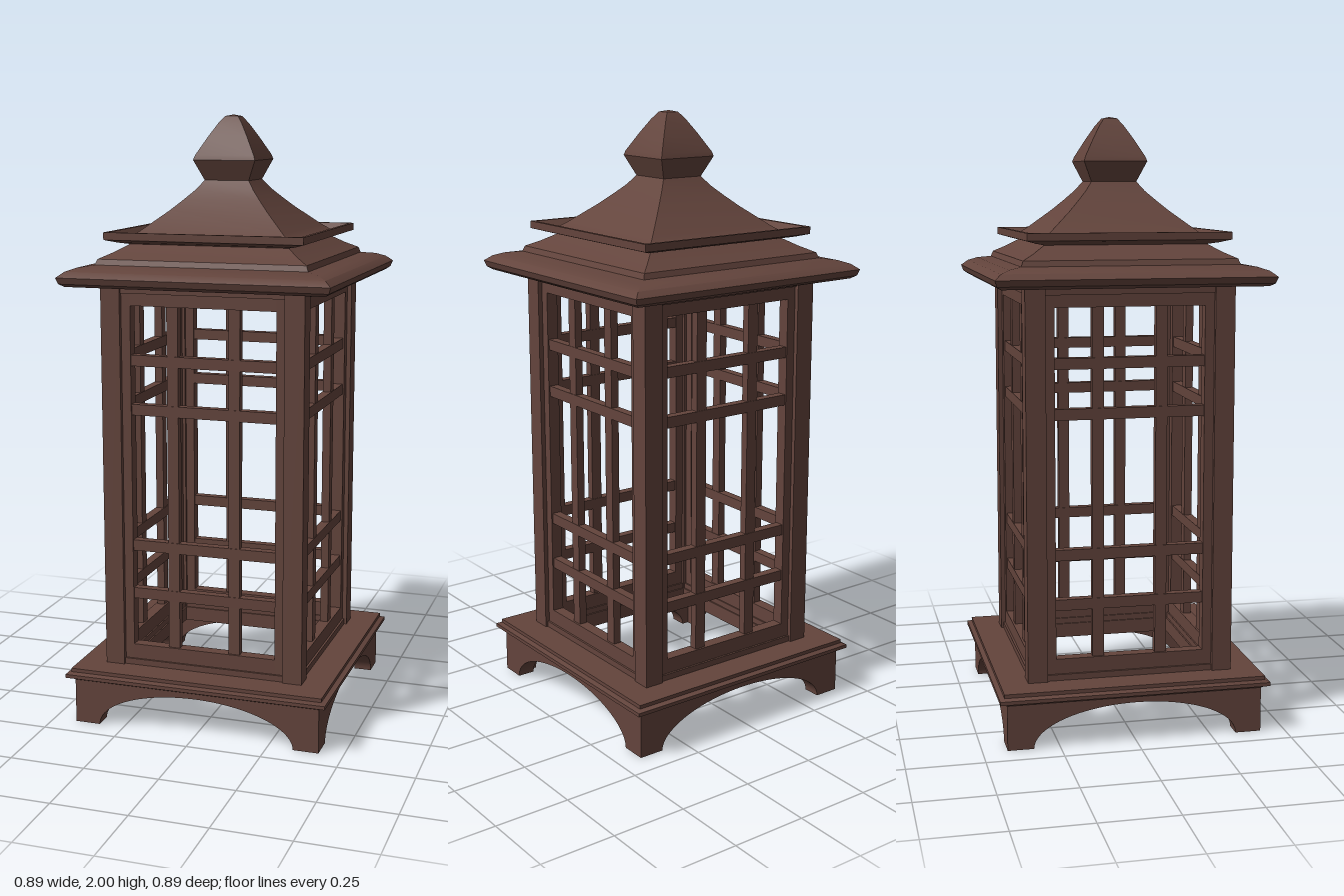
import * as THREE from 'three';
import { toCreasedNormals } from 'three/addons/utils/BufferGeometryUtils.js';

const wood = new THREE.MeshStandardMaterial({ color: 0x63443c });

function add(parent, name, geometry, x = 0, y = 0, z = 0) {
  const mesh = new THREE.Mesh(geometry, wood);
  mesh.name = name;
  mesh.position.set(x, y, z);
  parent.add(mesh);
  return mesh;
}

// Box given by its extents
function bar(parent, name, x0, x1, y0, y1, z0, z1) {
  return add(parent, name, new THREE.BoxGeometry(x1 - x0, y1 - y0, z1 - z0),
    (x0 + x1) / 2, (y0 + y1) / 2, (z0 + z1) / 2);
}

// Square turning: the profile lists [half width, height]
function squareLathe(profile) {
  const points = profile.map(([w, y]) => new THREE.Vector2(w * Math.SQRT2, y));
  return toCreasedNormals(new THREE.LatheGeometry(points, 4, Math.PI / 4), 0.6);
}

// Apron board with an elliptical arch, butted against its neighbour at one end
function apronGeometry() {
  const half = 0.42, thick = 0.06;
  const shape = new THREE.Shape();
  shape.moveTo(-half, 0);
  shape.lineTo(-0.335, 0);
  shape.absellipse(0, 0, 0.335, 0.13, Math.PI, 0, true);
  shape.lineTo(half - thick, 0);
  shape.lineTo(half - thick, 0.16);
  shape.lineTo(-half, 0.16);
  shape.closePath();
  const geometry = new THREE.ExtrudeGeometry(shape, { depth: thick, bevelEnabled: false, curveSegments: 24 });
  return toCreasedNormals(geometry.translate(0, 0, half - thick), 0.5);
}

// One lattice side, facing +z
function latticePanel() {
  const panel = new THREE.Group();
  panel.name = 'latticePanel';
  // Surrounding frame
  for (const s of [-1, 1]) {
    add(panel, 'frameStile', new THREE.BoxGeometry(0.035, 1.25, 0.04), s * 0.262, 0.825, 0.305);
  }
  bar(panel, 'frameTopRail', -0.245, 0.245, 1.4, 1.44, 0.285, 0.325);
  bar(panel, 'frameBottomRail', -0.245, 0.245, 0.21, 0.26, 0.285, 0.325);
  bar(panel, 'headRail', -0.28, 0.28, 1.44, 1.48, 0.28, 0.332);
  bar(panel, 'sillRail', -0.28, 0.28, 0.185, 0.21, 0.28, 0.332);
  // Crossing bars
  for (const x of [-0.104, 0.104]) {
    bar(panel, 'verticalBar', x - 0.019, x + 0.019, 0.25, 1.41, 0.291, 0.318);
  }
  for (const y of [0.438, 0.603, 1.06, 1.222]) {
    bar(panel, 'horizontalBar', -0.25, 0.25, y - 0.018, y + 0.018, 0.289, 0.32);
  }
  return panel;
}

export function createModel() {
  const model = new THREE.Group();
  model.name = 'lantern';

  // Four matching sides: apron, lattice and corner post
  const apron = apronGeometry();
  for (let i = 0; i < 4; i++) {
    const side = new THREE.Group();
    side.name = 'side';
    side.rotation.y = i * Math.PI / 2;
    add(side, 'archedApron', apron);
    side.add(latticePanel());
    bar(side, 'cornerPost', 0.275, 0.34, 0.18, 1.48, 0.275, 0.34);
    model.add(side);
  }

  // Moulded base rim, open in the middle
  add(model, 'baseRim', squareLathe([
    [0.275, 0.19], [0.275, 0.14], [0.415, 0.145], [0.43, 0.155], [0.445, 0.16],
    [0.445, 0.172], [0.43, 0.178], [0.43, 0.19], [0.275, 0.19],
  ]));

  // Two-tier hollow roof: inside from the peak down, then outside up to the upper lip
  add(model, 'roof', squareLathe([
    [0, 1.7], [0.1, 1.67], [0.27, 1.54], [0.27, 1.465], [0.425, 1.465],
    [0.44, 1.475], [0.447, 1.495], [0.425, 1.513], [0.395, 1.524], [0.352, 1.53],
    [0.345, 1.548], [0.305, 1.568], [0.265, 1.592], [0.295, 1.598], [0.33, 1.608],
    [0.33, 1.632], [0.318, 1.632], [0.295, 1.606], [0.275, 1.607], [0.24, 1.632],
    [0.165, 1.695], [0.13, 1.728], [0.098, 1.76], [0.075, 1.79],
  ]));

  // Finial
  add(model, 'finial', squareLathe([
    [0.075, 1.789], [0.105, 1.855], [0.1, 1.87], [0.066, 1.93], [0.04, 1.972],
    [0.022, 1.995], [0, 2],
  ]));

  return model;
}
